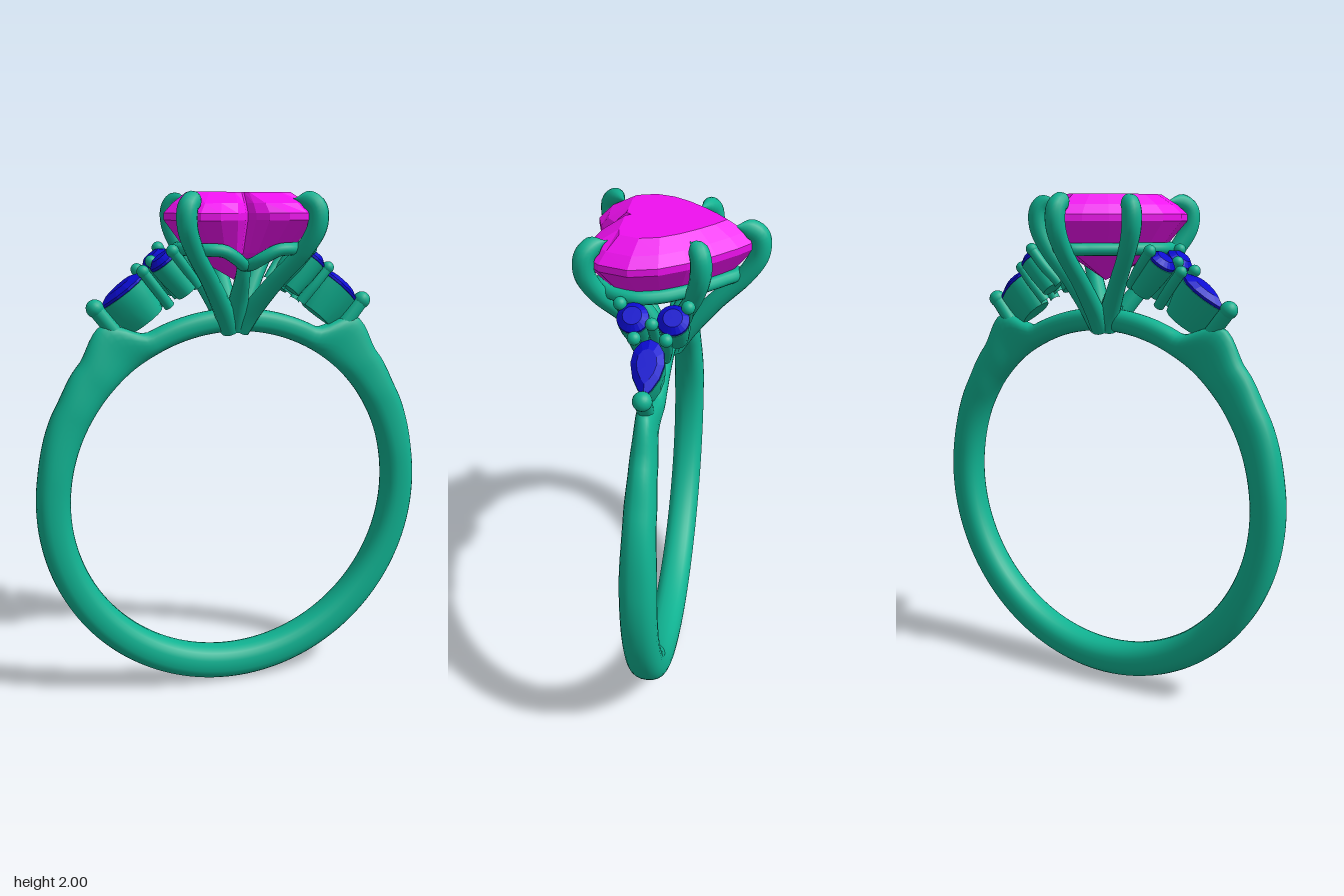
import * as THREE from 'three';
import { toCreasedNormals } from 'three/addons/utils/BufferGeometryUtils.js';

const metal = new THREE.MeshStandardMaterial({ color: 0x10b392 });
const pink = new THREE.MeshStandardMaterial({ color: 0xf010f0 });
const blue = new THREE.MeshStandardMaterial({ color: 0x0a0ad0 });
const MID_Z = 0.045; // centre plane of the band

function add(parent, name, geo, mat, x = 0, y = 0, z = 0) {
  const m = new THREE.Mesh(geo, mat);
  m.name = name;
  m.position.set(x, y, z);
  parent.add(m);
  return m;
}

// Piecewise smooth lookup in rows of [key, ...values]
function lookup(rows, k, col) {
  let i = 0;
  while (i < rows.length - 2 && k > rows[i + 1][0]) i++;
  const t = THREE.MathUtils.smoothstep(k, rows[i][0], rows[i + 1][0]);
  return THREE.MathUtils.lerp(rows[i][col], rows[i + 1][col], t);
}

// Tube along points, with a radius that follows rows of [t, radius]
function wire(points, radii, closed = false, segs = 40, sides = 14) {
  const curve = new THREE.CatmullRomCurve3(points.map(p => new THREE.Vector3(...p)), closed);
  const geo = new THREE.TubeGeometry(curve, segs, 1, sides, closed);
  const pos = geo.attributes.position, v = new THREE.Vector3();
  for (let i = 0; i <= segs; i++) {
    const c = curve.getPointAt(i / segs), r = lookup(radii, i / segs, 1);
    for (let j = 0; j <= sides; j++) {
      const k = i * (sides + 1) + j;
      v.fromBufferAttribute(pos, k).sub(c).multiplyScalar(r).add(c);
      pos.setXYZ(k, v.x, v.y, v.z);
    }
  }
  return geo;
}

// Faceted solid: an outline [x, z] stacked at levels [scale, y, maxZ], top to bottom
function stack(outline, levels, cz = 0) {
  const at = ([s, y, maxZ = 9], i) => {
    const [x, z] = outline[i % outline.length];
    return [x * s, y, Math.min(cz + (z - cz) * s, maxZ)];
  };
  const p = [];
  for (let l = 0; l < levels.length - 1; l++) {
    const T = levels[l], B = levels[l + 1];
    for (let i = 0; i < outline.length; i++) {
      if (B[0] > 0) p.push(...at(T, i), ...at(B, i), ...at(B, i + 1));
      else p.push(...at(T, i), ...at(B, i), ...at(T, i + 1));
      if (T[0] > 0 && B[0] > 0) p.push(...at(T, i), ...at(B, i + 1), ...at(T, i + 1));
    }
  }
  const geo = new THREE.BufferGeometry();
  geo.setAttribute('position', new THREE.Float32BufferAttribute(p, 3));
  geo.computeVertexNormals();
  return geo;
}

// Finger band: round section swept in a circle, swelling into two shoulders
function bandGeometry() {
  const rows = [ // degrees from the top, outer radius, half width
    [0, 0.755, 0.045], [27, 0.755, 0.045], [37, 0.88, 0.04], [48, 0.832, 0.05],
    [60, 0.814, 0.058], [82, 0.798, 0.068], [180, 0.805, 0.07]];
  const N = 200, M = 24, inner = 0.665, p = [], idx = [];
  for (let i = 0; i < N; i++) {
    const a = (i / N) * Math.PI * 2;
    const deg = 180 - Math.abs(180 - (i / N) * 360);
    const outer = lookup(rows, deg, 1), w = lookup(rows, deg, 2);
    for (let j = 0; j < M; j++) {
      const f = (j / M) * Math.PI * 2, sq = v => Math.sign(v) * Math.abs(v) ** 0.85;
      const r = (inner + outer) / 2 + ((outer - inner) / 2) * sq(Math.cos(f));
      p.push(r * Math.sin(a), 0.805 + r * Math.cos(a), MID_Z + w * sq(Math.sin(f)));
      const i2 = (i + 1) % N, j2 = (j + 1) % M;
      const A = i * M + j, B = i * M + j2, C = i2 * M + j2, D = i2 * M + j;
      idx.push(A, B, D, B, C, D);
    }
  }
  const geo = new THREE.BufferGeometry();
  geo.setAttribute('position', new THREE.Float32BufferAttribute(p, 3));
  geo.setIndex(idx);
  geo.computeVertexNormals();
  return geo;
}

// Heart outline, from the cleft round the +x lobe to the point, then mirrored
const halfHeart = [[0, 0.22], [0.02, 0.255], [0.06, 0.29], [0.13, 0.31], [0.2, 0.297], [0.265, 0.235],
  [0.295, 0.13], [0.27, 0.03], [0.215, -0.06], [0.14, -0.15], [0.07, -0.222], [0, -0.28]];
const heart = [...halfHeart, ...halfHeart.slice(1, -1).reverse().map(([x, z]) => [-x, z])];

function centreSetting() {
  const g = new THREE.Group();
  g.name = 'centreSetting';
  add(g, 'heartStone', stack(heart, [[0, 2], [0.68, 2, 0.185], [0.88, 1.96, 0.265], [1, 1.925],
    [1, 1.9], [0.68, 1.78], [0, 1.67]], 0.05), pink);

  // Claws: rise from the base, flare out and hook over the stone
  const profile = [[0.08, 1.48], [0.22, 1.55], [0.52, 1.67], [0.86, 1.79], [1.01, 1.88], [1, 1.945], [0.9, 1.97], [0.72, 1.975]];
  const radii = [[0, 0.04], [0.5, 0.033], [0.82, 0.038], [0.9, 0.036], [1, 0.002]];
  for (const [x, z] of [[0, -0.29], [0.21, -0.105], [-0.21, -0.105], [0.245, 0.285], [-0.245, 0.285]]) {
    const pts = profile.map(([t, y]) => [x * t, y, MID_Z + (z - MID_Z) * t]);
    add(g, 'claw', wire(pts, radii, false, 56), metal);
  }

  // Rail under the stone, dipping at the cleft to meet a strut
  const rail = heart.map(([x, z]) => {
    const dip = z > 0.1 ? 0.06 * Math.exp(-((x / 0.08) ** 2)) : 0;
    return [x * 0.8, 1.795 - dip, 0.05 + (z - 0.05) * 0.8];
  });
  add(g, 'galleryRail', wire(rail, [[0, 0.024], [1, 0.024]], true, 100, 12), metal);
  add(g, 'cleftStrut', wire([[0, 1.49, 0.06], [0, 1.6, 0.11], [0, 1.69, 0.16], [0, 1.75, 0.18]],
    [[0, 0.045], [1, 0.026]]), metal);
  add(g, 'settingBase', new THREE.CylinderGeometry(0.075, 0.055, 0.1, 24), metal, 0, 1.52, MID_Z);
  return g;
}

// Side cluster, built in a tilted frame: +x runs out and down along the shoulder
function sideCluster() {
  const g = new THREE.Group();
  g.name = 'sideCluster';
  g.position.set(0.44, 1.64, 0);
  g.rotation.z = -0.665;
  const halfPear = [[-0.105, 0], [-0.092, 0.03], [-0.06, 0.052], [-0.015, 0.058], [0.035, 0.046], [0.075, 0.024], [0.105, 0]];
  const pear = [...halfPear, ...halfPear.slice(1, -1).reverse().map(([x, z]) => [x, -z])];
  const round = Array.from({ length: 20 }, (_, i) => {
    const a = (i / 20) * Math.PI * 2;
    return [0.056 * Math.cos(a), -0.056 * Math.sin(a)];
  });
  const gemLevels = [[0, 0.022], [0.6, 0.022], [1, 0.004], [1, -0.006], [0, -0.05]];
  const cupLevels = [[0, -0.008], [1.02, -0.008], [0.95, -0.07], [0.75, -0.15], [0, -0.15]];
  const seat = (name, outline, x, z) => {
    add(g, name + 'Stone', stack(outline, gemLevels), blue, x, 0, z);
    add(g, name + 'Cup', toCreasedNormals(stack(outline, cupLevels), 0.8), metal, x, 0, z);
  };
  seat('pear', pear, 0, 0);
  for (const s of [-1, 1]) seat('round', round, -0.18, s * 0.07);

  // Beaded posts between the stones
  const post = (x, z, r) => {
    add(g, 'post', wire([[x, 0.012, z], [x, -0.07, z * 0.9], [x, -0.155, z * 0.65]],
      [[0, r], [1, r]], false, 10, 12), metal);
    add(g, 'bead', new THREE.SphereGeometry(r * 1.15, 16, 12), metal, x, 0.014, z);
  };
  post(0.122, 0, 0.03);
  post(-0.155, 0, 0.02);
  for (const s of [-1, 1]) {
    post(-0.1, s * 0.055, 0.021);
    post(-0.225, s * 0.118, 0.021);
  }
  return g;
}

export function createModel() {
  const model = new THREE.Group();
  model.name = 'ring';
  add(model, 'band', bandGeometry(), metal);
  model.add(centreSetting());
  for (const [name, turn] of [['leftShoulder', 0], ['rightShoulder', Math.PI]]) {
    const side = new THREE.Group();
    side.name = name;
    side.position.z = MID_Z;
    side.rotation.y = turn;
    side.add(sideCluster());
    model.add(side);
  }
  return model;
}
